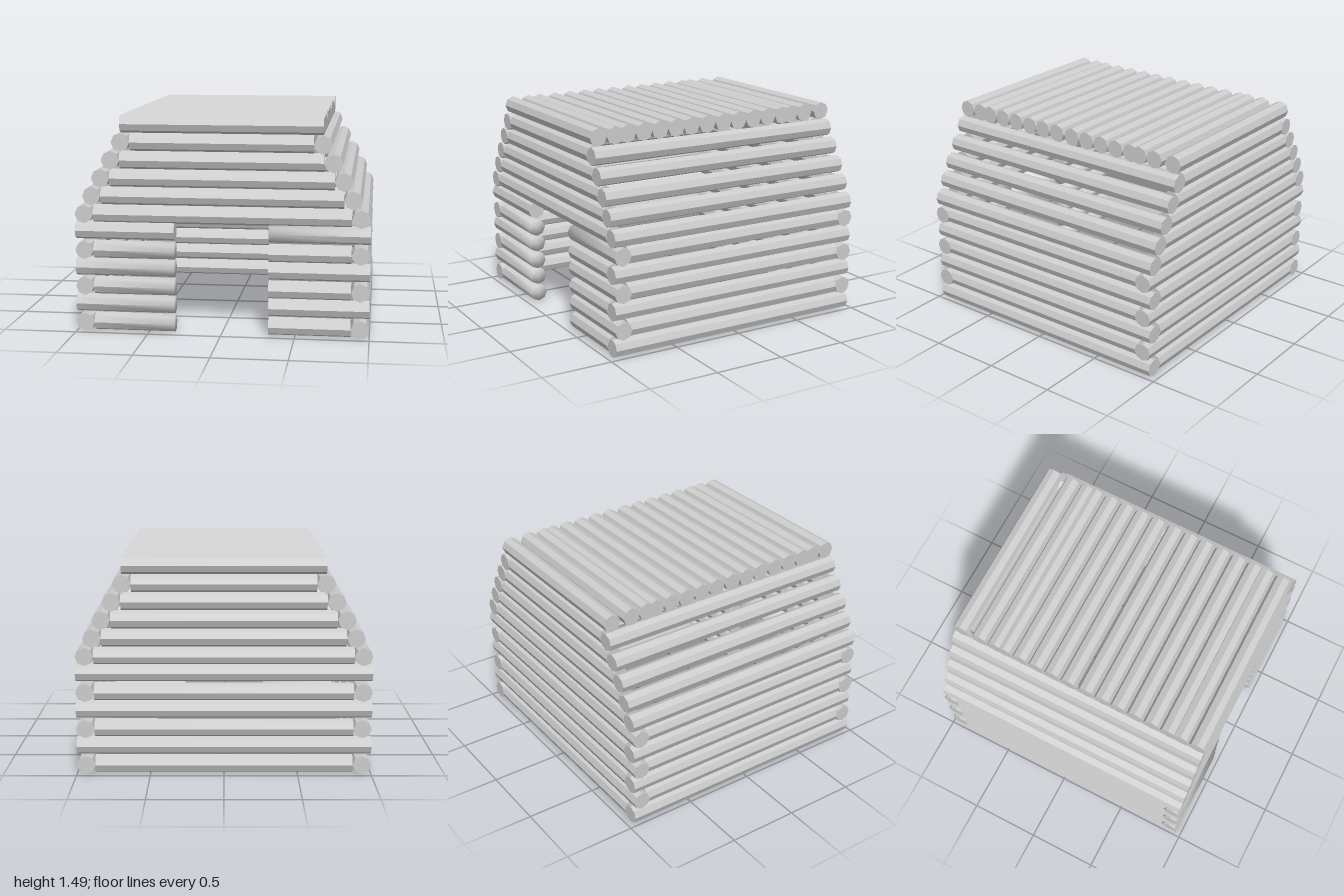
import * as THREE from 'three';

const R = 0.0625;
const wood = new THREE.MeshStandardMaterial({ color: 0xcccccc });
wood.name = 'plain wood';

// Eight-sided log along local y with faceted sides; softTop rounds the shading at its +y end
function logGeometry(length, softTop = false) {
  const g = new THREE.CylinderGeometry(R, R, length, 8).toNonIndexed();
  g.computeVertexNormals();
  if (softTop) {
    const p = g.attributes.position;
    const n = new THREE.Vector3();
    for (let i = 0; i < p.count; i++) {
      if (p.getY(i) < length / 2 - 1e-4) continue;
      n.set(p.getX(i) / R, 0.7, p.getZ(i) / R).normalize();
      g.attributes.normal.setXYZ(i, n.x, n.y, n.z);
    }
  }
  return g;
}

// Log along x from x0 to x1; softEnd is the sign of the softened end, or 0
function logX(parent, name, x0, x1, y, z, softEnd = 0) {
  const m = new THREE.Mesh(logGeometry(x1 - x0, softEnd !== 0), wood);
  m.name = name;
  m.rotation.z = softEnd < 0 ? Math.PI / 2 : -Math.PI / 2;
  m.position.set((x0 + x1) / 2, y, z);
  parent.add(m);
}

// Log along z, centred on z = 0
function logZ(parent, name, half, x, y) {
  const m = new THREE.Mesh(logGeometry(half * 2), wood);
  m.name = name;
  m.rotation.x = Math.PI / 2;
  m.position.set(x, y, 0);
  parent.add(m);
}

function group(parent, name) {
  const g = new THREE.Group();
  g.name = name;
  parent.add(g);
  return g;
}

export function createModel() {
  const model = new THREE.Group();
  model.name = 'logCabin';
  const front = group(model, 'frontWall');
  const back = group(model, 'backWall');
  const sides = group(model, 'sideWalls');
  const roof = group(model, 'roof');
  const wallZ = 0.905, door = 0.32;

  // Lower walls: rows alternate which logs run past the corners
  const rowY = [0.0635, 0.193, 0.316, 0.446, 0.567, 0.7];
  rowY.forEach((y, i) => {
    const long = i % 2 === 1;
    const halfX = long ? 1 : 0.875;
    logX(back, 'backLog', -halfX, halfX, y, -wallZ);
    // Front logs stop at the doorway
    logX(front, 'doorLogRight', -halfX, -door, y, wallZ, i < 5 ? 1 : 0);
    logX(front, 'doorLogLeft', door, halfX, y, wallZ, i === 5 ? -1 : 0);
    for (const s of [-1, 1]) logZ(sides, 'sideLog', long ? 0.86 : 0.96, s * 0.9375, y);
  });

  // Upper walls step inwards to the roof
  const upper = [[0.9375, 0.815], [0.883, 0.94], [0.82, 1.062], [0.75, 1.185], [0.68, 1.307]];
  for (const [x, y] of upper) {
    const half = x - R;
    logX(front, 'frontUpperLog', -half, half, y, wallZ);
    logX(back, 'backUpperLog', -half, half, y, -wallZ);
    for (const s of [-1, 1]) logZ(sides, 'sideUpperLog', 0.96, s * x, y);
  }

  // Flat roof of logs laid across
  const roofZ = [0.907, 0.782, 0.689, 0.565, 0.44, 0.313, 0.192, 0.067,
    -0.067, -0.192, -0.316, -0.44, -0.565, -0.635, -0.757, -0.907];
  for (const z of roofZ) logX(roof, 'roofLog', -0.682, 0.682, 1.43, z);

  return model;
}
